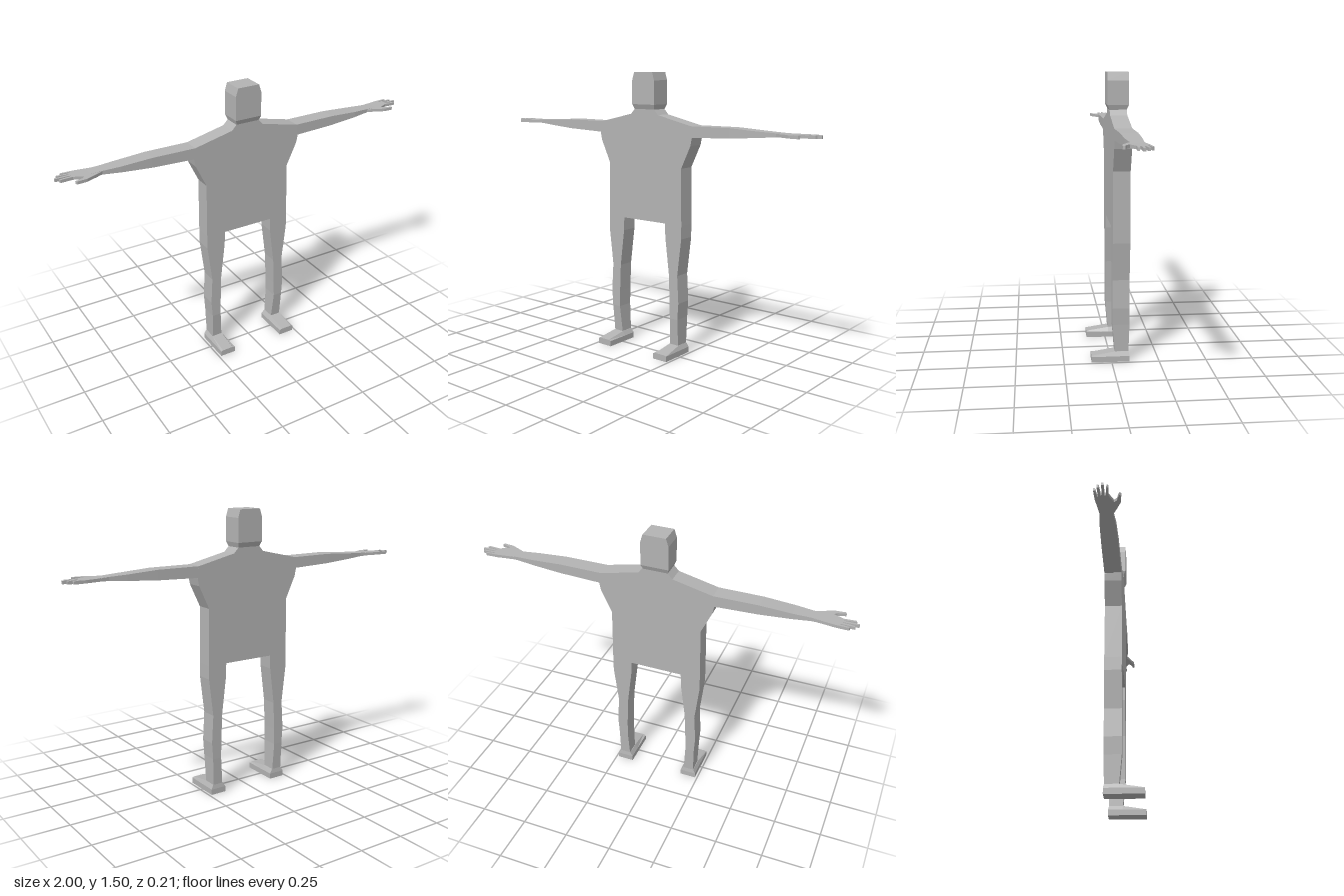
import * as THREE from 'three';

const BACK = -0.094, FRONT = -0.005;

// Non-indexed geometry from a flat list of coordinates
function fromTriangles(coords) {
  const geo = new THREE.BufferGeometry();
  geo.setAttribute('position', new THREE.Float32BufferAttribute(coords, 3));
  geo.computeVertexNormals();
  return geo;
}

// Skin of rectangular sections along y or x: rows of [position, min, max, zMin, zMax]
function loft(rows, axis = 'y') {
  const rings = rows.map(([p, a, b, z0 = BACK, z1 = FRONT]) => {
    const corners = [[a, z1], [b, z1], [b, z0], [a, z0]];
    if (axis === 'x') corners.reverse();
    return corners.map(([c, z]) => (axis === 'x' ? [p, c, z] : [c, p, z]));
  });
  const out = [];
  const quad = (a, b, c, d) => out.push(...a, ...b, ...c, ...a, ...c, ...d);
  for (let i = 0; i < rings.length - 1; i++) {
    const lo = rings[i], hi = rings[i + 1];
    for (let k = 0; k < 4; k++) {
      const n = (k + 1) % 4;
      quad(lo[k], lo[n], hi[n], hi[k]);
    }
  }
  const first = rings[0], last = rings[rings.length - 1];
  quad(first[3], first[2], first[1], first[0]);
  quad(last[0], last[1], last[2], last[3]);
  return fromTriangles(out);
}

// Copy for the other side of x = 0, keeping faces outward
function mirrored(source) {
  const src = source.attributes.position, out = [];
  for (let i = 0; i < src.count; i += 3) {
    for (const k of [i, i + 2, i + 1]) out.push(-src.getX(k), src.getY(k), src.getZ(k));
  }
  return fromTriangles(out);
}

// Flat hand with four fingers and a thumb, outlined in x and z
function handGeometry() {
  const outline = [
    [0.78, -0.02], [0.815, -0.004], [0.87, 0.02], [0.92, 0.024], [0.926, 0.014], [0.885, 0.002],
    [0.872, -0.012], [0.92, -0.034], [0.98, -0.03], [0.985, -0.04], [0.925, -0.047],
    [0.925, -0.052], [1.0, -0.052], [1.0, -0.063], [0.928, -0.065],
    [0.926, -0.07], [0.985, -0.075], [0.985, -0.085], [0.92, -0.083],
    [0.915, -0.088], [0.963, -0.094], [0.96, -0.102], [0.895, -0.1], [0.84, -0.092], [0.78, -0.085],
  ];
  const shape = new THREE.Shape(outline.map(([x, z]) => new THREE.Vector2(x, -z)));
  const geo = new THREE.ExtrudeGeometry(shape, { depth: 0.015, bevelEnabled: false });
  return geo.rotateX(-Math.PI / 2).translate(0, 1.201, 0);
}

// Front of the foot: its upper slopes down to the toe
function toeGeometry() {
  const geo = loft([
    [0, 0.15, 0.237, -0.018, 0.105],
    [0.03, 0.15, 0.237, -0.018, 0.105],
    [0.053, 0.165, 0.225, -0.018, 0.105],
  ]);
  const pos = geo.attributes.position;
  for (let i = 0; i < pos.count; i++) {
    if (pos.getY(i) > 0.04 && pos.getZ(i) > 0.1) pos.setY(i, 0.034);
  }
  geo.computeVertexNormals();
  return geo;
}

export function createModel() {
  const model = new THREE.Group();
  model.name = 'blockyFigure';
  const grey = new THREE.MeshStandardMaterial({ color: 0xb3b3b3, flatShading: true });
  grey.name = 'plain grey';

  const add = (name, geo) => {
    const mesh = new THREE.Mesh(geo, grey);
    mesh.name = name;
    model.add(mesh);
  };
  const addPair = (name, geo) => {
    add('left' + name, geo);
    add('right' + name, mirrored(geo));
  };

  // Torso, from hips to neck
  add('torso', loft([
    [0.712, 0.247], [1.01, 0.243], [1.13, 0.3], [1.17, 0.308],
    [1.23, 0.3], [1.278, 0.09], [1.305, 0.065],
  ].map(([y, w]) => [y, -w, w])));

  // Head, chamfered at the jaw and crown
  add('head', loft([
    [1.305, -0.065, 0.065],
    [1.33, -0.073, 0.073, -0.105, 0.006],
    [1.455, -0.073, 0.073, -0.105, 0.006],
    [1.497, -0.06, 0.06, -0.105, 0.006],
  ]));

  // Arms, tapering to thin wrists
  addPair('Arm', loft([
    [0.3, 1.172, 1.23],
    [0.53, 1.18, 1.231, -0.093, -0.007],
    [0.69, 1.192, 1.222, -0.091, -0.011],
    [0.78, 1.199, 1.218, -0.085, -0.02],
    [0.84, 1.201, 1.216, -0.088, -0.02],
  ], 'x'));
  addPair('Hand', handGeometry());

  // Legs, narrowing at knee and ankle
  addPair('Leg', loft([
    [0.05, 0.167, 0.223, -0.09, -0.018],
    [0.2, 0.176, 0.226],
    [0.29, 0.174, 0.232],
    [0.44, 0.168, 0.223],
    [0.64, 0.143, 0.247],
    [0.712, 0.141, 0.247],
  ]));

  // Feet: square heel under the ankle, then the sloping toe
  addPair('Heel', loft([
    [0, 0.15, 0.237, BACK, -0.018],
    [0.03, 0.15, 0.237, BACK, -0.018],
    [0.053, 0.165, 0.225, -0.09, -0.018],
  ]));
  addPair('Toe', toeGeometry());

  return model;
}
